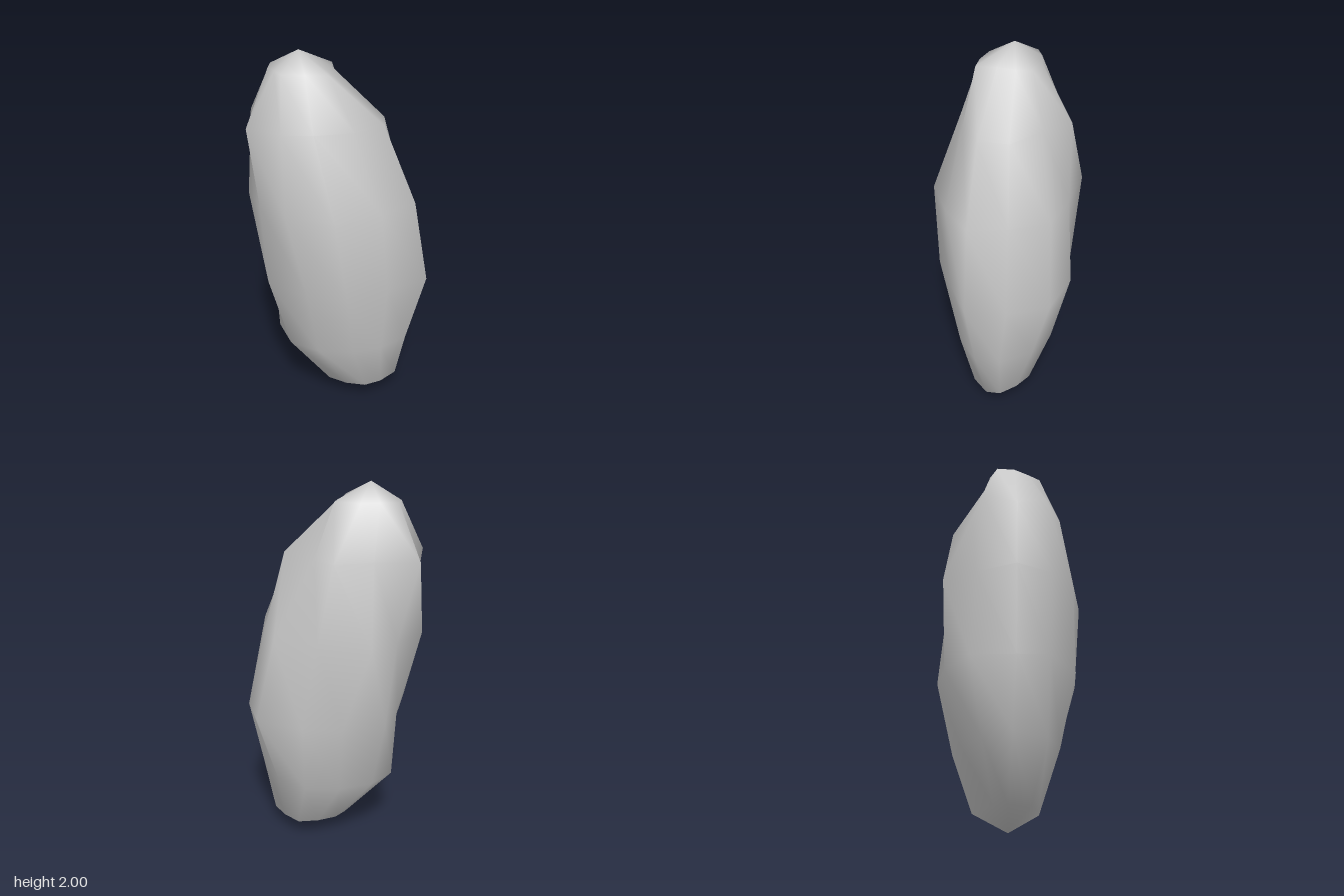
import * as THREE from 'three';

// Cross-sections from top to bottom: height, then eleven [x, z] corners
const RINGS = [
  [1.91, [[-0.055, 0.05], [-0.04, 0.155], [-0.155, 0.16], [-0.275, 0.14], [-0.315, 0.07], [-0.355, -0.01],
    [-0.355, -0.105], [-0.27, -0.14], [-0.175, -0.155], [-0.04, -0.135], [-0.04, -0.05]]],
  [1.64, [[0.235, 0.08], [0.085, 0.195], [-0.11, 0.25], [-0.27, 0.25], [-0.455, 0.155], [-0.43, 0],
    [-0.48, -0.19], [-0.26, -0.235], [-0.08, -0.335], [0.045, -0.21], [0.235, -0.08]]],
  [1.23, [[0.405, 0.1], [0.23, 0.26], [0, 0.39], [-0.255, 0.315], [-0.4, 0.18], [-0.485, -0.01],
    [-0.38, -0.21], [-0.28, -0.38], [0, -0.35], [0.24, -0.295], [0.345, -0.1]]],
  [0.78, [[0.485, 0.1], [0.27, 0.235], [0.06, 0.36], [-0.15, 0.33], [-0.375, 0.17], [-0.365, 0],
    [-0.335, -0.235], [-0.13, -0.355], [0.075, -0.39], [0.34, -0.32], [0.45, -0.11]]],
  [0.385, [[0.385, 0.08], [0.245, 0.2], [0.09, 0.25], [-0.1, 0.245], [-0.265, 0.16], [-0.345, -0.02],
    [-0.26, -0.165], [-0.1, -0.26], [0.09, -0.295], [0.26, -0.22], [0.385, -0.06]]],
  [0.1, [[0.335, 0.03], [0.25, 0.12], [0.16, 0.165], [0.05, 0.15], [-0.05, 0.1], [-0.08, -0.02],
    [-0.04, -0.09], [0.05, -0.15], [0.155, -0.185], [0.25, -0.13], [0.33, -0.05]]],
];
const TOP = [-0.2, 2, -0.01];
const BOTTOM = [0.13, 0, 0];

// Skins the rings and closes both ends with a tip, sharing corners for smooth normals
function skinRings(rings, top, bottom) {
  const sides = rings[0][1].length;
  const positions = [...top];
  for (const [y, corners] of rings) for (const [x, z] of corners) positions.push(x, y, z);
  positions.push(...bottom);
  const last = positions.length / 3 - 1;
  const at = (ring, side) => 1 + ring * sides + (side % sides);
  const index = [];
  for (let i = 0; i < sides; i++) {
    index.push(0, at(0, i + 1), at(0, i));
    for (let r = 0; r < rings.length - 1; r++) {
      index.push(at(r, i), at(r, i + 1), at(r + 1, i));
      index.push(at(r, i + 1), at(r + 1, i + 1), at(r + 1, i));
    }
    index.push(at(rings.length - 1, i), at(rings.length - 1, i + 1), last);
  }
  const geometry = new THREE.BufferGeometry();
  geometry.setAttribute('position', new THREE.Float32BufferAttribute(positions, 3));
  geometry.setIndex(index);
  geometry.computeVertexNormals();
  return geometry;
}

export function createModel() {
  const group = new THREE.Group();
  group.name = 'standingStone';
  const stone = new THREE.MeshStandardMaterial({ color: 0xc8c8c8 });
  stone.name = 'stone grey';

  // Leaning boulder
  const rock = new THREE.Mesh(skinRings(RINGS, TOP, BOTTOM), stone);
  rock.name = 'rock';
  group.add(rock);
  return group;
}
